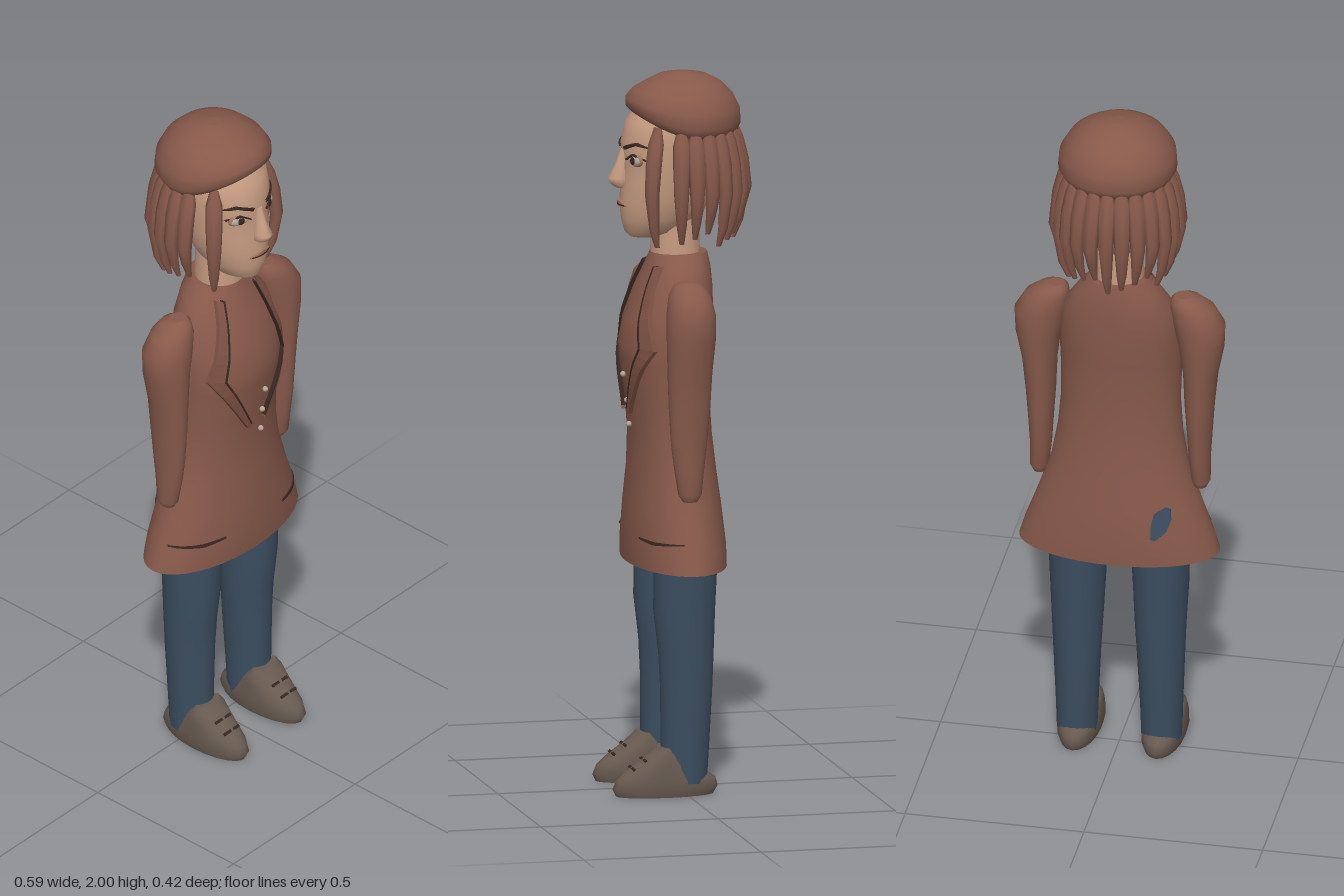
import * as THREE from 'three';

const paint = (name, color, side = THREE.FrontSide) => {
  const m = new THREE.MeshStandardMaterial({ color, side });
  m.name = name;
  return m;
};

// Rings are [y, halfWidth, zFront, zBack, centreX]
function loft(rings, seg = 28, bend = null) {
  const pos = [], idx = [], n = rings.length;
  const put = ([y, rx, zf, zb, cx = 0], j) => {
    const a = (j / seg) * Math.PI * 2;
    const v = new THREE.Vector3(cx + rx * Math.sin(a), y, (zf + zb) / 2 + ((zf - zb) / 2) * Math.cos(a));
    if (bend) bend(v, a);
    pos.push(v.x, v.y, v.z);
  };
  rings.forEach((r) => { for (let j = 0; j < seg; j++) put(r, j); });
  for (let i = 0; i < n - 1; i++) for (let j = 0; j < seg; j++) {
    const k = (j + 1) % seg, a = i * seg, b = a + seg;
    idx.push(a + j, a + k, b + k, a + j, b + k, b + j);
  }
  // end caps on their own vertices keep the rims crisp
  [rings[0], rings[n - 1]].forEach((r, end) => {
    const s = pos.length / 3;
    for (let j = 0; j < seg; j++) put(r, j);
    for (let j = 1; j < seg - 1; j++) idx.push(s, s + (end ? j : j + 1), s + (end ? j + 1 : j));
  });
  const g = new THREE.BufferGeometry();
  g.setAttribute('position', new THREE.Float32BufferAttribute(pos, 3));
  g.setIndex(idx);
  g.computeVertexNormals();
  return g;
}

// Depth of a lofted surface at x, y (dir 1 = front, -1 = back)
const surface = (rings, dir = 1) => (x, y) => {
  let i = 0;
  while (i < rings.length - 2 && rings[i + 1][0] < y) i++;
  const a = rings[i], b = rings[i + 1], t = (y - a[0]) / (b[0] - a[0]);
  const [, rx, zf, zb] = a.map((v, k) => v + (b[k] - v) * t);
  return (zf + zb) / 2 + dir * ((zf - zb) / 2) * Math.sqrt(Math.max(0, 1 - (x / rx) ** 2));
};

// Strip that follows a surface; points are [x, y, width]
function ribbon(points, surf, lift, steps = 6) {
  const pos = [], idx = [];
  const quad = (a, b, c, d) => {
    const s = pos.length / 3;
    [a, b, c, d].forEach((p) => pos.push(...p));
    idx.push(s, s + 1, s + 2, s, s + 2, s + 3);
  };
  const rows = [];
  for (let i = 0; i < points.length - 1; i++) for (let k = i ? 1 : 0; k <= steps; k++) {
    const t = k / steps, a = points[i], b = points[i + 1];
    rows.push(a.map((v, q) => v + (b[q] - v) * t));
  }
  const cuts = rows.map(([x, y, w], i) => {
    const p = rows[Math.max(0, i - 1)], q = rows[Math.min(rows.length - 1, i + 1)];
    const l = Math.hypot(q[0] - p[0], q[1] - p[1]);
    const nx = (-(q[1] - p[1]) / l) * w / 2, ny = ((q[0] - p[0]) / l) * w / 2;
    return [[1, 0], [1, lift], [-1, lift], [-1, 0]].map(([s, h]) =>
      [x + nx * s, y + ny * s, surf(x + nx * s, y + ny * s) + h]);
  });
  for (let i = 0; i < cuts.length - 1; i++) for (let e = 0; e < 3; e++)
    quad(cuts[i][e], cuts[i][e + 1], cuts[i + 1][e + 1], cuts[i + 1][e]);
  const g = new THREE.BufferGeometry();
  g.setAttribute('position', new THREE.Float32BufferAttribute(pos, 3));
  g.setIndex(idx);
  g.computeVertexNormals();
  return g;
}

const COAT = [[0.64, 0.28, 0.14, -0.13], [0.7, 0.262, 0.142, -0.13], [0.8, 0.225, 0.138, -0.12],
  [0.9, 0.192, 0.13, -0.107], [1.0, 0.174, 0.128, -0.096], [1.1, 0.166, 0.136, -0.09],
  [1.2, 0.168, 0.152, -0.092], [1.25, 0.17, 0.154, -0.095], [1.32, 0.168, 0.141, -0.1],
  [1.4, 0.155, 0.11, -0.1], [1.46, 0.115, 0.085, -0.096], [1.5, 0.08, 0.07, -0.088]];
const HEAD = [[1.545, 0.03, 0.125, 0.03], [1.56, 0.058, 0.142, -0.02], [1.6, 0.083, 0.152, -0.07],
  [1.65, 0.1, 0.155, -0.105], [1.7, 0.11, 0.15, -0.12], [1.76, 0.117, 0.146, -0.13],
  [1.81, 0.12, 0.151, -0.135], [1.87, 0.118, 0.135, -0.13], [1.93, 0.09, 0.09, -0.1]];
const CAP = [[1.845, 0.12, 0.095, -0.145], [1.835, 0.15, 0.122, -0.17], [1.86, 0.164, 0.135, -0.181],
  [1.9, 0.161, 0.136, -0.178], [1.94, 0.139, 0.117, -0.158], [1.97, 0.107, 0.086, -0.128],
  [1.99, 0.068, 0.048, -0.09], [2.0, 0.02, 0, -0.04]];
const ARM = [[0.84, 0.017, 0.032, -0.008, 0.225], [0.86, 0.026, 0.045, -0.02, 0.226], [0.93, 0.03, 0.056, -0.028, 0.222],
  [1.0, 0.034, 0.065, -0.036, 0.222], [1.1, 0.041, 0.071, -0.045, 0.222], [1.2, 0.048, 0.075, -0.05, 0.225],
  [1.29, 0.063, 0.077, -0.058, 0.228], [1.36, 0.072, 0.076, -0.06, 0.222], [1.41, 0.062, 0.066, -0.05, 0.203],
  [1.435, 0.043, 0.05, -0.035, 0.187], [1.445, 0.025, 0.03, -0.015, 0.178]];
const LEG = [[0.04, 0.056, 0.064, -0.06, 0.118], [0.14, 0.059, 0.068, -0.066, 0.118], [0.3, 0.066, 0.069, -0.075, 0.117],
  [0.4, 0.071, 0.074, -0.079, 0.116], [0.52, 0.077, 0.088, -0.083, 0.116], [0.7, 0.084, 0.085, -0.092, 0.115]];
const SHOE = [[0.005, 0.055, 0.195, -0.08, 0.117], [0.025, 0.061, 0.205, -0.092, 0.117], [0.05, 0.061, 0.195, -0.085, 0.117],
  [0.07, 0.061, 0.172, -0.055, 0.117], [0.095, 0.06, 0.137, -0.018, 0.117], [0.12, 0.058, 0.102, 0.02, 0.117],
  [0.14, 0.045, 0.078, 0.045, 0.117]];

export function createModel() {
  const group = new THREE.Group();
  const brown = paint('brown', 0x87594a);
  const trim = paint('brownTrim', 0x7c5042, THREE.DoubleSide);
  const skin = paint('skin', 0xc79c82);
  const denim = paint('denim', 0x3c4e60, THREE.DoubleSide);
  const leather = paint('shoeLeather', 0x675a50);
  const dark = paint('darkBrown', 0x38261f, THREE.DoubleSide);
  const white = paint('eyeWhite', 0xb5aca4);
  const lip = paint('lip', 0xa8745f, THREE.DoubleSide);
  const button = paint('button', 0xb9a596);
  const add = (name, geo, mat, x = 0, y = 0, z = 0) => {
    const m = new THREE.Mesh(geo, mat);
    m.name = name;
    m.position.set(x, y, z);
    group.add(m);
    return m;
  };
  const chest = surface(COAT), back = surface(COAT, -1), face = surface(HEAD);

  // body and head
  add('coat', loft(COAT, 40), brown);
  add('neck', new THREE.CylinderGeometry(0.066, 0.07, 0.2, 24), skin, 0, 1.51, 0);
  add('head', loft(HEAD, 32), skin);
  add('nose', loft([[1.682, 0.012, 0.165, 0.13], [1.692, 0.025, 0.18, 0.13], [1.71, 0.024, 0.19, 0.13],
    [1.75, 0.014, 0.168, 0.13], [1.79, 0.011, 0.155, 0.13]], 12), skin);
  add('mouth', ribbon([[-0.038, 1.636, 0.004], [0, 1.64, 0.018], [0.038, 1.636, 0.004]], face, 0.006), lip);
  add('mouthLine', ribbon([[-0.036, 1.637, 0.003], [0.036, 1.637, 0.003]], face, 0.008), dark);

  // hair cap with its brim arched over the forehead
  add('hairCap', loft(CAP, 36, (v, a) => {
    const fade = Math.max(0, 1 - Math.max(0, v.y - 1.83) / 0.14);
    v.y += 0.06 * fade * Math.max(0, Math.cos(a)) ** 1.5;
  }), brown);

  // hanging locks around the sides and back
  for (let i = 0; i < 17; i++) {
    const deg = i === 0 ? 48 : i === 16 ? 312 : 76 + (i - 1) * (208 / 14);
    const low = 1.53 + 0.025 * ((i * 5) % 4) / 2, w = 0.024;
    const ring = (y, rx, r, d) => [y, rx, r + d, r - d];
    const lock = add('hairLock', loft([ring(low, 0.007, 0.143, 0.007), ring(low + 0.05, 0.014, 0.16, 0.013),
      ring(1.68, 0.021, 0.173, 0.018), ring(1.76, w, 0.165, 0.018), ring(1.82, w, 0.152, 0.016),
      ring(1.865, 0.012, 0.14, 0.008)], 7), brown, 0, 0, -0.02);
    lock.rotation.y = THREE.MathUtils.degToRad(deg);
  }

  for (const s of [-1, 1]) {
    const side = (rings) => rings.map(([y, rx, f, b, cx]) => [y, rx, f, b, cx * s]);
    const flip = (pts) => pts.map(([x, y, w]) => [x * s, y, w]);
    // limbs
    add('arm', loft(side(ARM), 24), brown);
    add('leg', loft(side(LEG), 24), denim);
    add('shoe', loft(side(SHOE), 20), leather);
    for (const [y, z] of [[0.082, 0.156], [0.105, 0.124]]) {
      const lace = add('lace', new THREE.BoxGeometry(0.06, 0.005, 0.008), dark, 0.117 * s, y, z - 0.006);
      lace.rotation.x = 0.6;
    }
    // coat details
    add('lapel', ribbon(flip([[0.073, 1.47, 0.014], [0.136, 1.25, 0.032], [0.032, 1.06, 0.012]]), chest, 0.012, 8), trim);
    add('lapelEdge', ribbon(flip([[0.064, 1.47, 0.004], [0.118, 1.25, 0.005], [0.027, 1.07, 0.004]]), chest, 0.013, 8), dark);
    add('pocketSlit', ribbon(flip([[0.115, 0.724, 0.004], [0.18, 0.718, 0.009], [0.25, 0.722, 0.004]]), chest, 0.004), dark);
    // eyes and brows
    const eye = (name, x, y, r, w, h, mat, lift) => {
      const m = add(name, new THREE.SphereGeometry(r, 16, 10), mat, x * s, y, face(x, y) + lift);
      m.scale.set(w, h, 0.25);
      m.rotation.y = 0.4 * s;
    };
    eye('eyeRim', 0.06, 1.767, 0.031, 1, 0.58, lip, -0.003);
    eye('eyeball', 0.06, 1.766, 0.026, 1, 0.55, white, 0.001);
    eye('pupil', 0.059, 1.766, 0.011, 1, 1, dark, 0.006);
    add('upperLid', ribbon(flip([[0.032, 1.766, 0.003], [0.06, 1.783, 0.005], [0.09, 1.769, 0.003]]), face, 0.007), dark);
    add('brow', ribbon(flip([[0.026, 1.797, 0.009], [0.07, 1.814, 0.008], [0.096, 1.806, 0.003]]), face, 0.006), dark);
  }

  // buttons on the front, worn patch on the back
  for (const y of [1.165, 1.092, 1.025])
    add('button', new THREE.SphereGeometry(0.008, 10, 8), button, 0.02, y, chest(0.02, y) + 0.006);
  add('denimPatch', ribbon([[-0.115, 0.725, 0.012], [-0.13, 0.755, 0.045], [-0.14, 0.79, 0.05], [-0.155, 0.815, 0.012]],
    back, -0.005), denim);
  return group;
}
